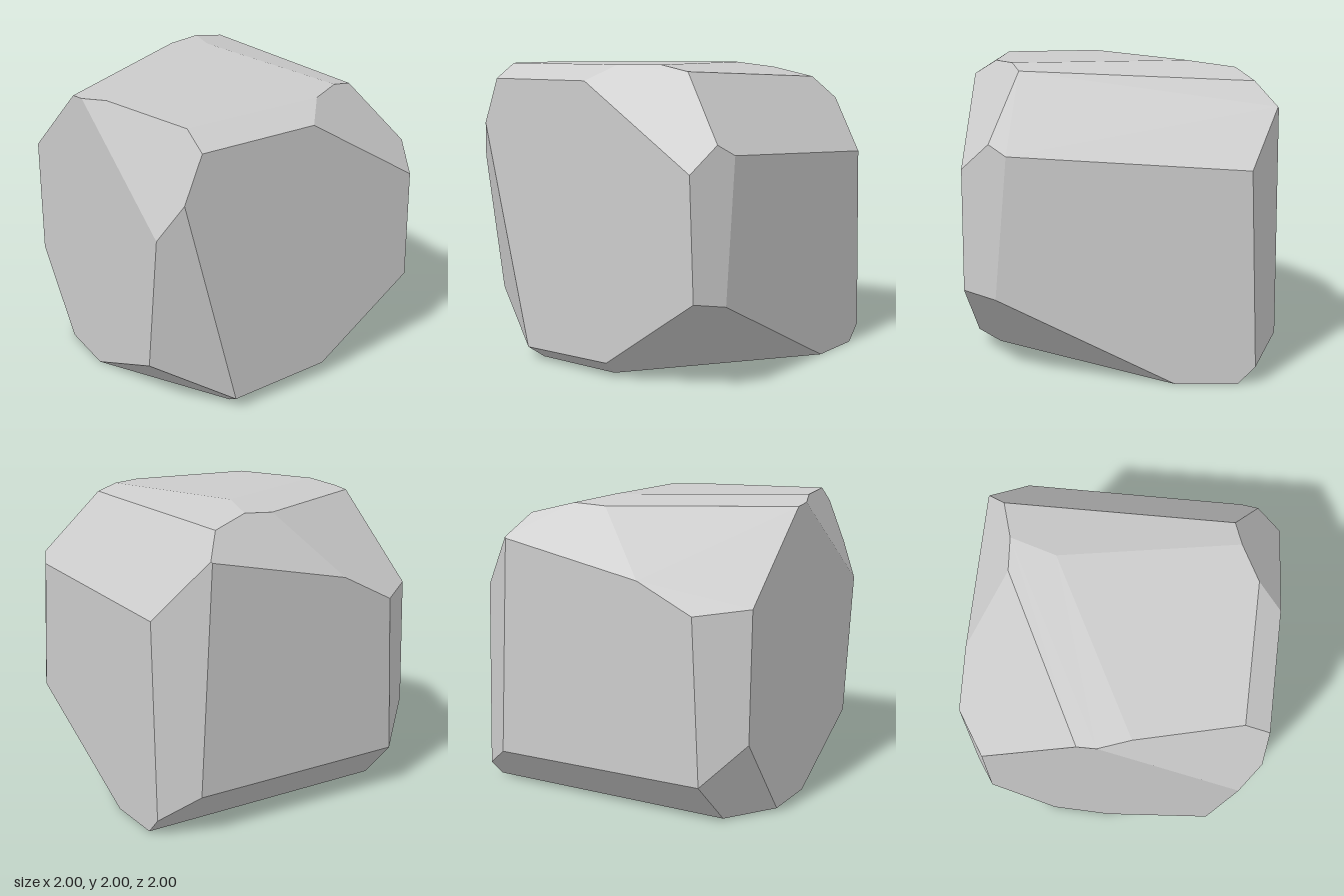
import * as THREE from 'three';
import { ConvexGeometry } from 'three/addons/geometries/ConvexGeometry.js';

// Each cut keeps the side where nx * x + ny * y + nz * z <= d.
const CUTS = [
  // around the top
  [0, 1.6, 1, 4.04],               // front bevel
  [0.53, 0.83, 0.98, 2.584],       // front corner, +x
  [1.23, 1, -0.06, 2.657],         // side slope, +x
  [0.231, 1, -0.046, 2.067],       // shallow slope, +x
  [-0.083, 1, -0.149, 2.05],       // shallow slope, back
  [-0.485, 1, -0.878, 2.558],      // back corner, -x
  [-0.202, 1, -1.309, 2.9],        // back bevel
  [-2.444, 1, 0.667, 4.393],       // front corner, -x
  // upright edges
  [1, 0.039, 0.428, 1.361],        // front, +x
  [-1, -0.245, 1.695, 2.173],      // front, -x
  [0.676, 0.037, -1, 1.53],        // back, +x
  [-0.696, 0.033, -1, 1.531],      // back, -x
  // around the base
  [0.028, -1, 0.755, 0.651],       // front bevel
  [0.7, -1, 0.495, 0.532],         // front corner, +x
  [-0.876, -1, 0.539, 0.887],      // front corner, -x
  [-0.007, -1, -1.032, 0.757],     // back bevel
  [-1.56, -0.786, -1, 1.95],       // back corner, -x
];

// Point shared by three planes, or null when they have none
function meet(p, q, r) {
  const qr = q.normal.clone().cross(r.normal);
  const det = p.normal.dot(qr);
  if (Math.abs(det) < 1e-4) return null;
  return qr.multiplyScalar(-p.constant)
    .addScaledVector(r.normal.clone().cross(p.normal), -q.constant)
    .addScaledVector(p.normal.clone().cross(q.normal), -r.constant)
    .divideScalar(det);
}

// Corners of the solid lying behind every plane
function corners(planes) {
  const points = [];
  for (let i = 0; i < planes.length; i++)
    for (let j = i + 1; j < planes.length; j++)
      for (let k = j + 1; k < planes.length; k++) {
        const v = meet(planes[i], planes[j], planes[k]);
        if (!v || planes.some((p) => p.distanceToPoint(v) > 1e-5)) continue;
        if (!points.some((o) => o.distanceTo(v) < 1e-3)) points.push(v);
      }
  return points;
}

export function createModel() {
  // Six sides of a 2 x 2 x 2 block standing on the ground
  const planes = [];
  for (const s of [1, -1]) {
    planes.push(new THREE.Plane(new THREE.Vector3(s, 0, 0), -1));
    planes.push(new THREE.Plane(new THREE.Vector3(0, s, 0), -1 - s));
    planes.push(new THREE.Plane(new THREE.Vector3(0, 0, s), -1));
  }

  // Bevels sliced off its corners and edges
  for (const [x, y, z, d] of CUTS)
    planes.push(new THREE.Plane(new THREE.Vector3(x, y, z), -d).normalize());

  const rock = new THREE.Mesh(
    new ConvexGeometry(corners(planes)),
    new THREE.MeshStandardMaterial({ color: 0xcccccc, flatShading: true })
  );
  rock.name = 'rock';

  const group = new THREE.Group();
  group.name = 'facetedRock';
  group.add(rock);
  return group;
}
